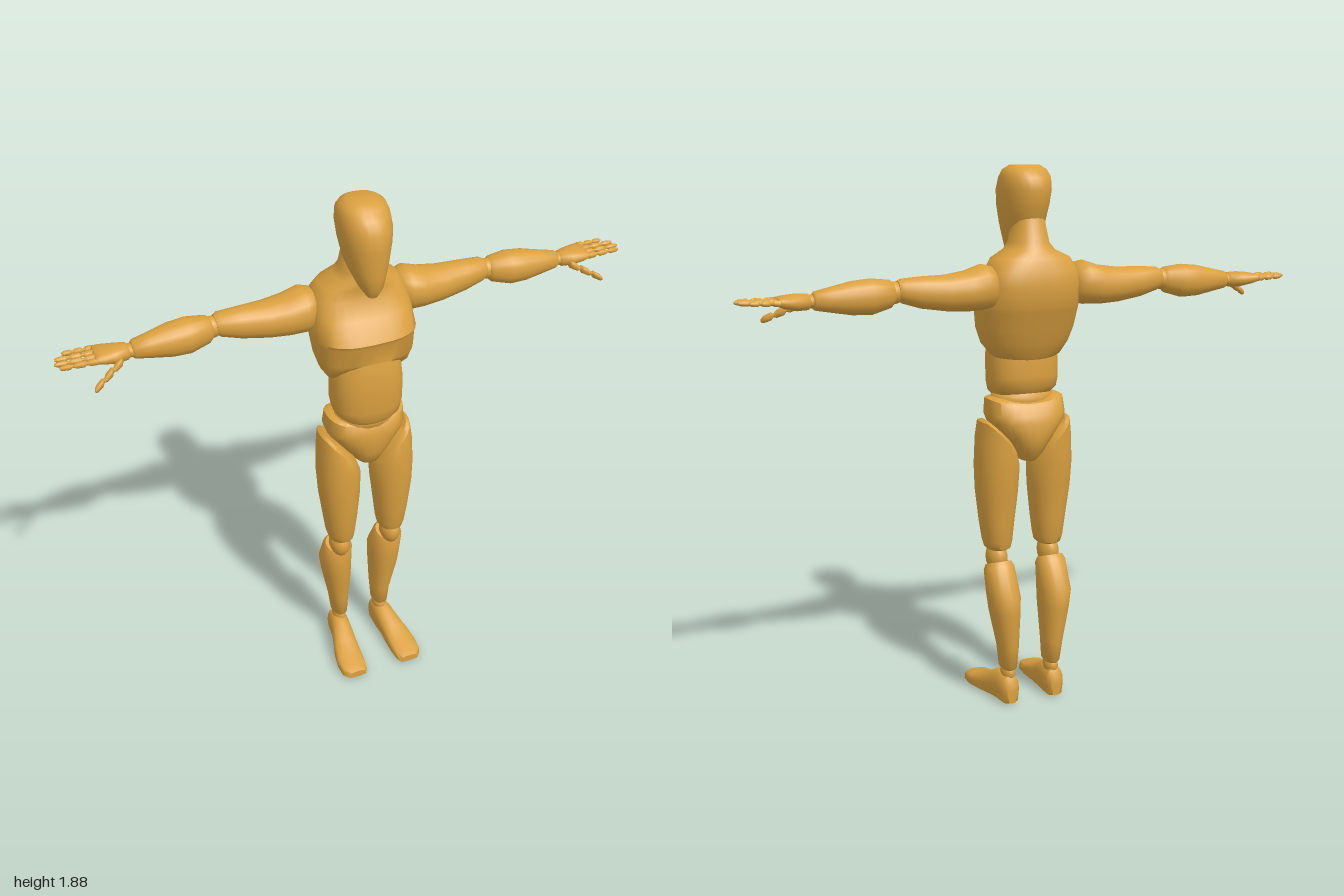
import * as THREE from 'three';
import { toCreasedNormals } from 'three/addons/utils/BufferGeometryUtils.js';

const amber = new THREE.MeshStandardMaterial({ color: 0xdaa040 });
amber.name = 'amber';

const AXES = {
  x: (t, u, v) => [t, u, v], // u = y, v = z
  y: (t, u, v) => [u, t, v], // u = x, v = z
  z: (t, u, v) => [u, v, t], // u = x, v = y
};

// Closed loft through superellipse sections [t, u, v, ru, rv, exponent], optionally mirrored and warped.
function loft(axis, sections, { side = 1, n = 20, warp = null, crease = 0.75 } = {}) {
  const pos = [], idx = [];
  const add = (t, u, v) => {
    const p = new THREE.Vector3(...AXES[axis](t, u, v));
    if (warp) warp(p);
    pos.push(p.x * side, p.y, p.z);
  };
  for (const [t, u, v, ru, rv, e = 2.2] of sections) {
    for (let i = 0; i < n; i++) {
      const a = (i / n) * Math.PI * 2, c = Math.cos(a), s = Math.sin(a);
      add(t, u + ru * Math.sign(c) * Math.abs(c) ** (2 / e), v + rv * Math.sign(s) * Math.abs(s) ** (2 / e));
    }
  }
  const last = sections.length - 1, capA = pos.length / 3, capB = capA + 1;
  add(...sections[0].slice(0, 3));
  add(...sections[last].slice(0, 3));
  for (let i = 0; i < n; i++) {
    const j = (i + 1) % n;
    for (let k = 0; k < last; k++) {
      const a = k * n + i, b = k * n + j;
      idx.push(a, b, b + n, a, b + n, a + n);
    }
    idx.push(capA, j, i, capB, last * n + i, last * n + j);
  }
  // Turn the faces outward whatever the axis or mirroring
  const P = (i) => new THREE.Vector3().fromArray(pos, i * 3);
  let volume = 0;
  for (let i = 0; i < idx.length; i += 3) volume += P(idx[i]).dot(P(idx[i + 1]).cross(P(idx[i + 2])));
  if (volume < 0) idx.reverse();
  const g = new THREE.BufferGeometry();
  g.setAttribute('position', new THREE.Float32BufferAttribute(pos, 3));
  g.setIndex(idx);
  return toCreasedNormals(g, crease);
}

const clamp = THREE.MathUtils.clamp;

export function createModel() {
  const model = new THREE.Group();
  model.name = 'mannequin';
  const part = (name, geometry, parent = model) => {
    const m = new THREE.Mesh(geometry, amber);
    m.name = name;
    parent.add(m);
    return m;
  };
  const ball = (name, x, y, z, rx, ry, rz, parent) =>
    part(name, new THREE.SphereGeometry(1, 18, 12).scale(rx, ry, rz).translate(x, y, z), parent);

  part('head', loft('y', [
    [1.575, 0, 0.055, 0.018, 0.02], [1.605, 0, 0.04, 0.038, 0.052], [1.65, 0, 0.01, 0.056, 0.088],
    [1.69, 0, -0.003, 0.069, 0.103], [1.75, 0, -0.01, 0.081, 0.112], [1.8, 0, -0.018, 0.085, 0.117],
    [1.84, 0, -0.025, 0.082, 0.102], [1.865, 0, -0.025, 0.072, 0.078], [1.88, 0, -0.025, 0.05, 0.048],
  ], { n: 24, crease: 1 }));

  // Neck and rib cage in one shell; the lower front rim arches over the abdomen
  part('chest', loft('y', [
    [1.72, 0, -0.055, 0.05, 0.052], [1.63, 0, -0.055, 0.066, 0.08], [1.605, 0, -0.06, 0.085, 0.088],
    [1.58, 0, -0.07, 0.135, 0.093, 2.4], [1.54, 0, -0.078, 0.158, 0.1, 2.8],
    [1.49, 0, -0.06, 0.168, 0.125, 3], [1.42, 0, -0.035, 0.175, 0.141, 2.8],
    [1.405, 0, -0.036, 0.174, 0.134, 2.7], [1.34, 0, -0.025, 0.167, 0.123, 2.6],
    [1.29, 0, -0.021, 0.152, 0.107, 2.5], [1.25, 0, -0.02, 0.127, 0.09, 2.4], [1.235, 0, -0.02, 0.105, 0.08, 2.3],
  ], {
    n: 32,
    warp: (p) => {
      if (p.y < 1.335) p.y += (1.335 - p.y) * clamp(1 - (p.x / 0.15) ** 2, 0, 1) * clamp((p.z + 0.03) / 0.09, 0, 1);
    },
  }));

  part('abdomen', loft('y', [
    [1.36, 0, 0.0, 0.1, 0.088], [1.31, 0, 0.0, 0.118, 0.1], [1.24, 0, 0.002, 0.123, 0.102, 2.5],
    [1.16, 0, -0.002, 0.123, 0.104, 2.5], [1.125, 0, -0.002, 0.117, 0.098, 2.5], [1.105, 0, 0, 0.1, 0.085],
  ], { n: 28, warp: (p) => { p.y += p.y < 1.17 ? -0.15 * p.z : 0; } }));

  ball('waistJoint', 0, 1.09, 0, 0.115, 0.06, 0.082);

  // Pelvis narrows in a V between the thighs and dips at its top front
  part('pelvis', loft('y', [
    [1.11, 0, -0.018, 0.125, 0.085, 2.6], [1.1, 0, -0.018, 0.137, 0.093, 2.6], [1.045, 0, -0.022, 0.141, 0.104, 2.6],
    [1.02, 0, -0.026, 0.133, 0.11, 2.5], [0.96, 0, -0.028, 0.088, 0.108], [0.91, 0, -0.03, 0.05, 0.09],
    [0.88, 0, -0.035, 0.026, 0.055],
  ], { n: 28, warp: (p) => { if (p.y > 1.08) p.y -= 0.025 * (1 - (p.x / 0.141) ** 2); } }));

  for (const side of [1, -1]) {
    const label = side > 0 ? 'left' : 'right';
    const arm = new THREE.Group(), leg = new THREE.Group();
    arm.name = label + 'Arm';
    leg.name = label + 'Leg';
    model.add(arm, leg);

    // Thigh, its top slanting down toward the crotch
    part('thigh', loft('y', [
      [1.035, 0.1, -0.018, 0.05, 0.075], [1.02, 0.1, -0.018, 0.062, 0.092], [0.96, 0.1, -0.014, 0.07, 0.095],
      [0.86, 0.1, -0.012, 0.075, 0.094], [0.77, 0.1, -0.008, 0.071, 0.088], [0.66, 0.099, -0.005, 0.059, 0.074],
      [0.59, 0.098, -0.007, 0.05, 0.066], [0.565, 0.097, -0.007, 0.044, 0.058], [0.558, 0.097, -0.007, 0.036, 0.045],
    ], {
      side, n: 24,
      warp: (p) => { p.y -= 1.05 * clamp(0.155 - p.x, 0, 0.14) * clamp((p.y - 0.86) / 0.15, 0, 1); },
    }), leg);
    ball('knee', side * 0.1, 0.525, -0.008, 0.037, 0.055, 0.051, leg);
    part('shin', loft('y', [
      [0.51, 0.1, -0.025, 0.045, 0.04], [0.49, 0.1, -0.03, 0.054, 0.05], [0.4, 0.098, -0.062, 0.056, 0.077],
      [0.34, 0.095, -0.064, 0.051, 0.074], [0.21, 0.086, -0.07, 0.035, 0.055], [0.135, 0.084, -0.068, 0.029, 0.044],
      [0.125, 0.084, -0.068, 0.022, 0.035],
    ], { side, warp: (p) => { if (p.y > 0.48) p.y -= 0.35 * (p.z + 0.03); } }), leg);
    ball('ankle', side * 0.084, 0.11, -0.068, 0.025, 0.035, 0.038, leg);
    part('foot', loft('z', [
      [-0.115, 0.086, 0.045, 0.02, 0.03], [-0.1, 0.087, 0.053, 0.032, 0.051, 2.5], [-0.05, 0.089, 0.058, 0.037, 0.057, 2.3],
      [-0.01, 0.094, 0.052, 0.04, 0.051, 2.3], [0.05, 0.104, 0.037, 0.047, 0.036, 2.4],
      [0.11, 0.11, 0.025, 0.052, 0.024, 2.5], [0.16, 0.111, 0.02, 0.048, 0.019, 2.5], [0.183, 0.107, 0.018, 0.034, 0.012],
    ], { side, warp: (p) => { if (p.y < 0.025) p.y *= 0.35; } }), leg);

    // Arms run straight out along x
    part('upperArm', loft('x', [
      [0.14, 1.49, -0.092, 0.05, 0.05], [0.155, 1.49, -0.092, 0.068, 0.068], [0.185, 1.49, -0.092, 0.075, 0.08],
      [0.24, 1.48, -0.094, 0.067, 0.074], [0.31, 1.477, -0.096, 0.06, 0.064], [0.4, 1.483, -0.098, 0.052, 0.05],
      [0.465, 1.491, -0.1, 0.04, 0.042], [0.48, 1.492, -0.1, 0.032, 0.033],
    ], { side }), arm);
    ball('elbow', side * 0.49, 1.487, -0.099, 0.035, 0.036, 0.034, arm);
    part('forearm', loft('x', [
      [0.492, 1.485, -0.098, 0.033, 0.033], [0.505, 1.484, -0.098, 0.045, 0.043], [0.57, 1.478, -0.097, 0.058, 0.057],
      [0.63, 1.476, -0.095, 0.054, 0.054], [0.7, 1.474, -0.092, 0.04, 0.04], [0.75, 1.473, -0.091, 0.03, 0.031],
      [0.757, 1.473, -0.091, 0.022, 0.023],
    ], { side }), arm);
    ball('wrist', side * 0.76, 1.472, -0.09, 0.022, 0.022, 0.026, arm);
    part('palm', loft('x', [
      [0.762, 1.472, -0.09, 0.018, 0.022], [0.772, 1.472, -0.09, 0.026, 0.032], [0.81, 1.472, -0.092, 0.027, 0.044],
      [0.85, 1.475, -0.096, 0.02, 0.049, 2.6], [0.87, 1.477, -0.098, 0.014, 0.049, 2.8], [0.875, 1.477, -0.098, 0.008, 0.044],
    ], { side }), arm);

    // Jointed fingers: three swollen segments with pinched joints
    const digit = (name, a, b, r) => {
      const sections = [];
      for (let k = 0; k < 3; k++) {
        for (const [f, s] of [[0.03, 0.5], [0.2, 1], [0.75, 0.95], [0.97, 0.5]]) {
          const q = (k + f) / 3, w = r * s * (1 - 0.25 * q);
          sections.push([a[0] + (b[0] - a[0]) * q, a[1] + (b[1] - a[1]) * q, a[2] + (b[2] - a[2]) * q, w, w]);
        }
      }
      part(name, loft('x', sections, { side, n: 10 }), arm);
    };
    [['indexFinger', -0.057, 0.988], ['middleFinger', -0.083, 1], ['ringFinger', -0.11, 0.993], ['littleFinger', -0.138, 0.965]]
      .forEach(([name, z, tip]) => digit(name, [0.862, 1.477, z], [tip, 1.479, z], 0.011));
    digit('thumb', [0.79, 1.463, -0.062], [0.9, 1.408, -0.002], 0.016);
  }
  return model;
}
